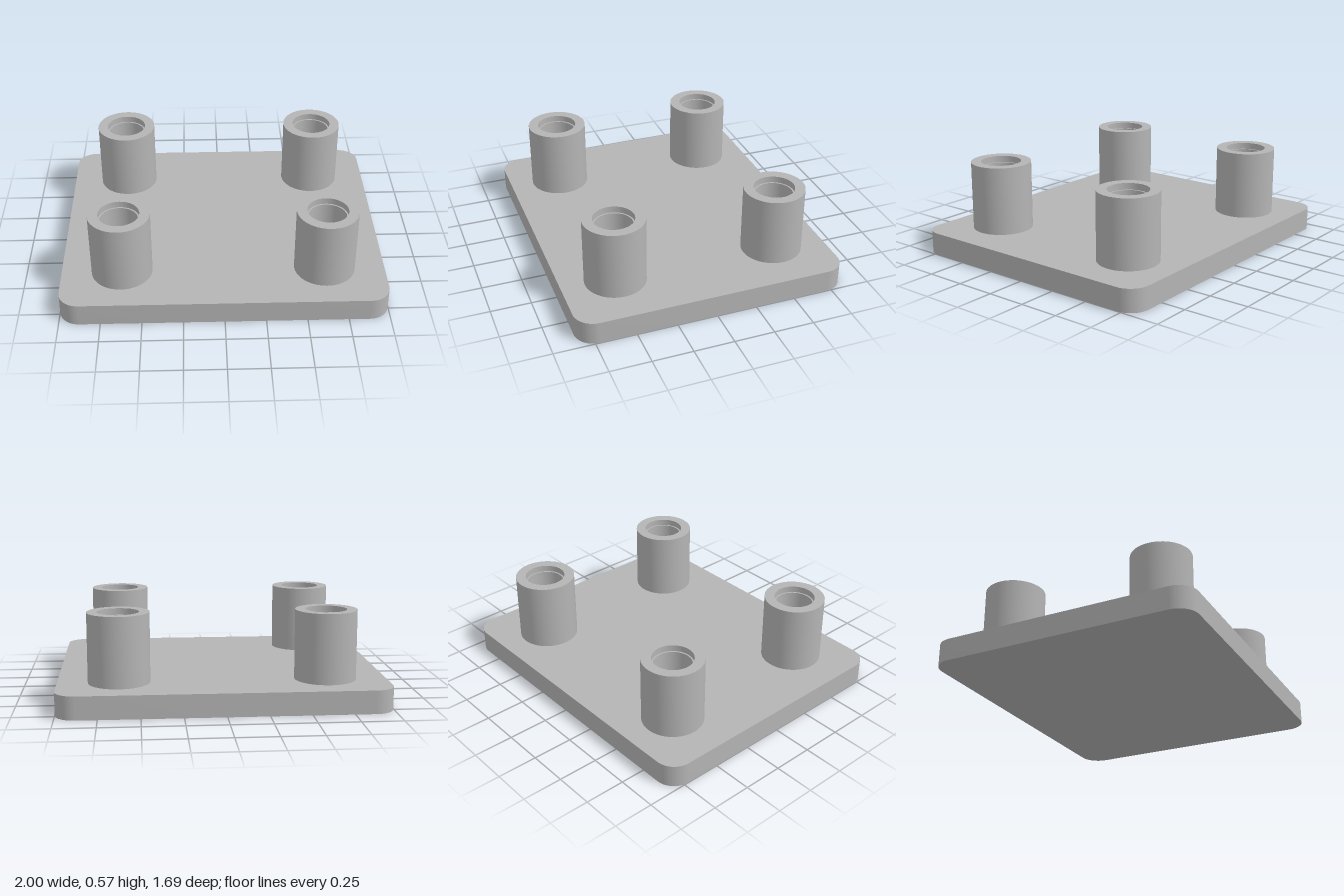
import * as THREE from 'three';
import { toCreasedNormals } from 'three/addons/utils/BufferGeometryUtils.js';

const WIDTH = 2, DEPTH = 1.69, THICK = 0.142, CORNER = 0.125;
const POST_X = 0.627, POST_Z = 0.51, POST_R = 0.188, TOP = 0.571;

// Flat plate with rounded vertical corners
function plateGeometry() {
  const w = WIDTH / 2, d = DEPTH / 2, r = CORNER;
  const shape = new THREE.Shape();
  shape.absarc(w - r, d - r, r, 0, Math.PI / 2);
  shape.absarc(r - w, d - r, r, Math.PI / 2, Math.PI);
  shape.absarc(r - w, r - d, r, Math.PI, Math.PI * 1.5);
  shape.absarc(w - r, r - d, r, Math.PI * 1.5, Math.PI * 2);
  shape.closePath();
  const geometry = new THREE.ExtrudeGeometry(shape, { depth: THICK, bevelEnabled: false, curveSegments: 12 });
  geometry.rotateX(-Math.PI / 2);
  return toCreasedNormals(geometry, Math.PI / 6);
}

// Hollow post: outer wall, rim, shallow counterbore, then a blind bore
function postGeometry() {
  const profile = [
    [POST_R, THICK], [POST_R, TOP],
    [0.125, TOP], [0.125, TOP - 0.04],
    [0.115, TOP - 0.04], [0.115, THICK + 0.002], [0, THICK + 0.002],
  ].map(([r, y]) => new THREE.Vector2(r, y));
  return toCreasedNormals(new THREE.LatheGeometry(profile, 64), Math.PI / 6);
}

export function createModel() {
  const grey = new THREE.MeshStandardMaterial({ color: 0xb4b4b4 });
  grey.name = 'grey';

  const model = new THREE.Group();
  model.name = 'basePlateWithPosts';

  const plate = new THREE.Mesh(plateGeometry(), grey);
  plate.name = 'plate';
  model.add(plate);

  // One post near each corner
  const geometry = postGeometry();
  for (const [side, sx] of [['Left', 1], ['Right', -1]]) {
    for (const [end, sz] of [['front', 1], ['back', -1]]) {
      const post = new THREE.Mesh(geometry, grey);
      post.name = `${end}${side}Post`;
      post.position.set(sx * POST_X, 0, sz * POST_Z);
      model.add(post);
    }
  }
  return model;
}
